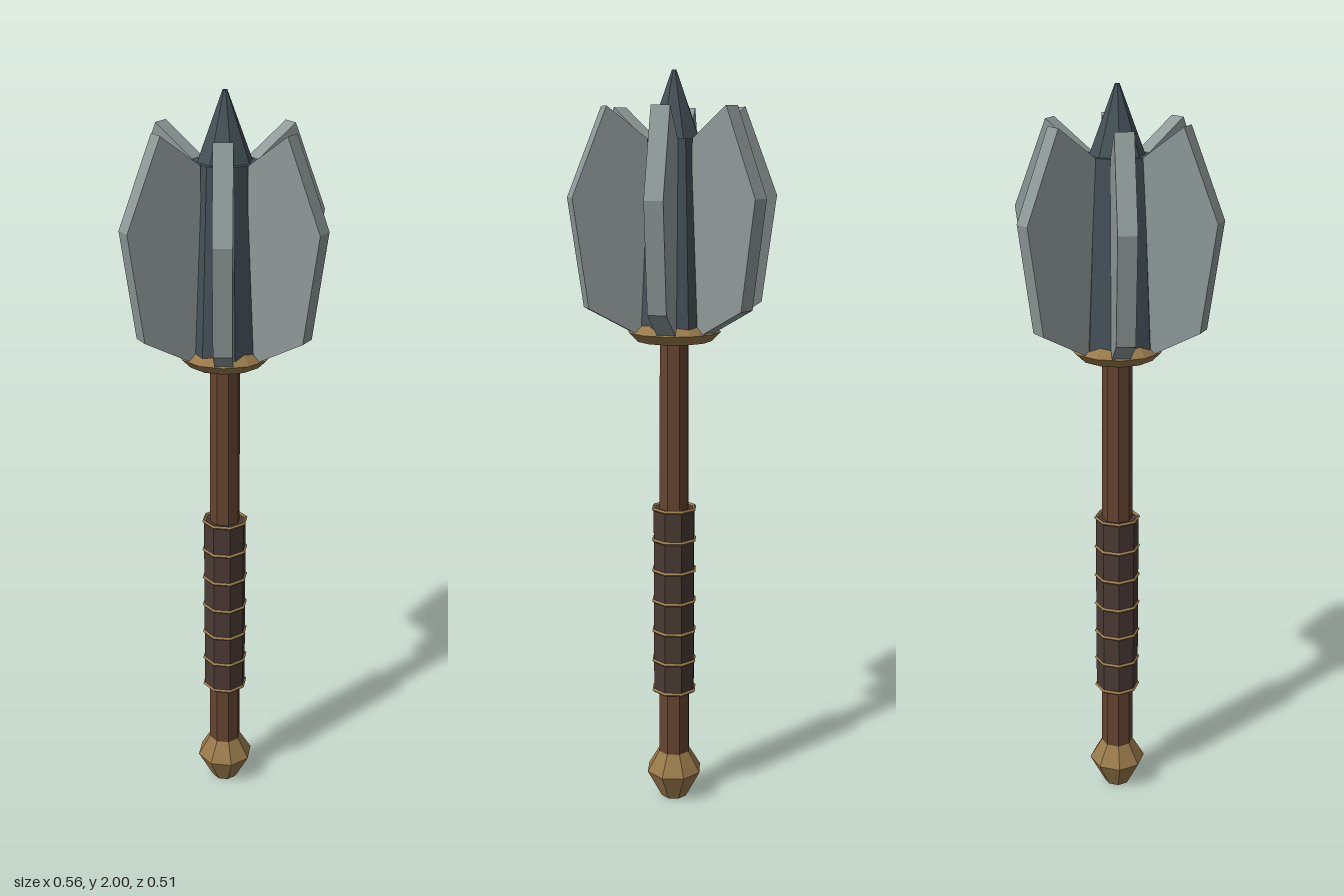
import * as THREE from 'three';

const mat = (name, color) => {
  const m = new THREE.MeshStandardMaterial({ color, flatShading: true });
  m.name = name;
  return m;
};

export function createModel() {
  const model = new THREE.Group();
  model.name = 'flangedMace';

  const steel = mat('pale steel', 0x8f9a99);
  const darkSteel = mat('dark steel', 0x455158);
  const brass = mat('brass', 0x98794a);
  const wood = mat('wood', 0x644430);
  const leather = mat('leather', 0x4a3a34);

  const add = (name, geometry, material, y = 0) => {
    const mesh = new THREE.Mesh(geometry, material);
    mesh.name = name;
    mesh.position.y = y;
    model.add(mesh);
    return mesh;
  };

  // Eight-sided tapered post between two heights
  const post = (name, rTop, rBottom, y0, y1, material) =>
    add(name, new THREE.CylinderGeometry(rTop, rBottom, y1 - y0, 8), material, (y0 + y1) / 2);

  // Horizontal ring around the handle
  const ring = (name, radius, tube, sides, y) =>
    add(name, new THREE.TorusGeometry(radius, tube, 4, sides).rotateX(Math.PI / 2), brass, y);

  // Pommel
  const profile = [[0, 0], [0.037, 0], [0.079, 0.08], [0.044, 0.14], [0, 0.14]];
  add('pommel', new THREE.LatheGeometry(profile.map(([r, y]) => new THREE.Vector2(r, y)), 8), brass);

  // Handle and grip with its bands
  post('shaft', 0.04, 0.045, 0.1, 1.36, wood);
  post('grip', 0.059, 0.059, 0.325, 0.85, leather);
  for (let i = 0; i < 7; i++) ring('gripBand', 0.059, 0.005, 8, 0.325 + i * 0.0875);

  // Head core, collar and spike
  ring('collar', 0.1, 0.025, 12, 1.335);
  post('headCore', 0.085, 0.11, 1.335, 1.83, darkSteel);
  post('spike', 0.006, 0.07, 1.83, 2, darkSteel);

  // Six radial blades
  const outline = [[0.08, 1.317], [0.24, 1.405], [0.28, 1.685], [0.187, 1.91], [0.08, 1.83]];
  const shape = new THREE.Shape(outline.map(([r, y]) => new THREE.Vector2(r, y)));
  const thickness = 0.048;
  const blade = new THREE.ExtrudeGeometry(shape, { depth: thickness, bevelEnabled: false });
  blade.translate(0, 0, -thickness / 2);
  for (let i = 0; i < 6; i++) add('blade', blade, steel).rotation.y = (i * Math.PI) / 3;

  return model;
}
